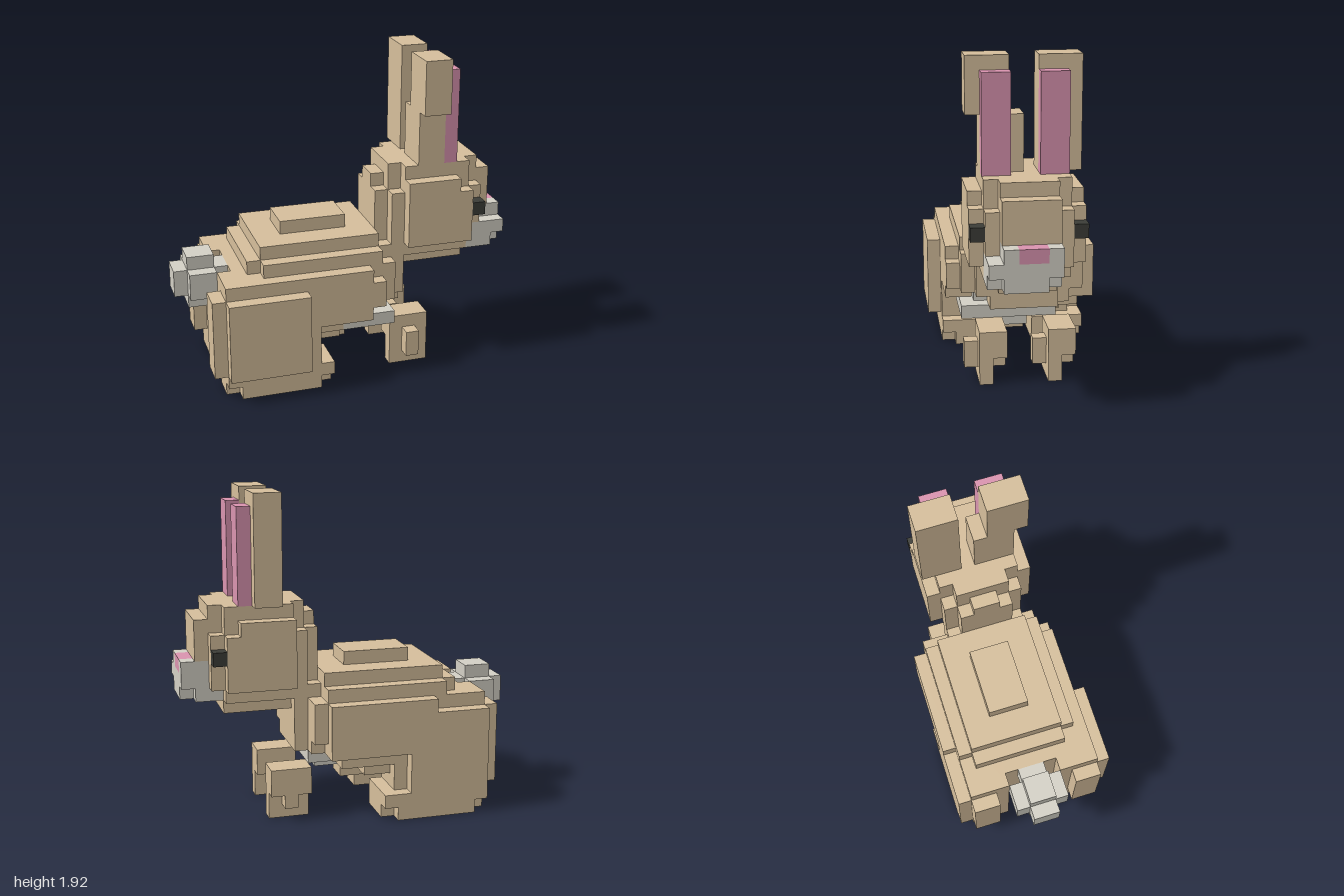
import * as THREE from 'three';
import { mergeGeometries } from 'three/addons/utils/BufferGeometryUtils.js';

const U = 0.08; // one block

// Box between two block-grid corners: x 0..25 (tail to nose), y 0..24, z -6..6
function block([x0, x1, y0, y1, z0, z1]) {
  const g = new THREE.BoxGeometry((x1 - x0) * U, (y1 - y0) * U, (z1 - z0) * U);
  g.translate(((x0 + x1) / 2) * U - 1, ((y0 + y1) / 2) * U, ((z0 + z1) / 2) * U);
  return g;
}

const flipZ = ([x0, x1, y0, y1, z0, z1]) => [x0, x1, y0, y1, -z1, -z0];
const shiftZ = ([x0, x1, y0, y1, z0, z1], d) => [x0, x1, y0, y1, z0 + d, z1 + d];

export function createModel() {
  const model = new THREE.Group();
  const paint = (name, color) => {
    const m = new THREE.MeshStandardMaterial({ color });
    m.name = name;
    return m;
  };
  const fur = paint('tan fur', 0xd6bf9c);
  const pale = paint('pale grey fur', 0xd4d1c6);
  const pink = paint('pink skin', 0xda94b0);
  const dark = paint('dark eye', 0x3c3d38);

  const part = (name, material, boxes) => {
    const mesh = new THREE.Mesh(mergeGeometries(boxes.map(block)), material);
    mesh.name = name;
    model.add(mesh);
  };

  // Body: stepped back, sides and underside
  part('body', fur, [
    [8, 13, 11, 12, -2, 1],
    [6, 15, 10, 11, -4, 3],
    [6, 15, 9, 10, -5, 4],
    [5, 15, 9, 10, -4, 3],
    [4, 14, 5, 9, -5, 5],
    [14, 15, 6, 8, -5, 5],
    [14, 15, 5, 9, -5, 2],
    [14, 15, 8, 9, -5, 4],
    [4, 12, 4, 5, -4, 4],
    [4, 14, 4, 5, -5, -3],
    [4, 12, 3, 4, -4, 3],
    [4, 13, 2, 3, -1, 1],
  ]);
  part('chest', fur, [
    [15, 16, 6, 9, -5, 4],
    [15, 16, 5, 6, -4, 2],
    [15, 17, 6, 10, -3, 3],
    [15, 17, 5, 6, -3, 2],
  ]);
  part('belly', pale, [
    [12, 16, 4, 5, -3, 4],
    [12, 15, 3, 4, -1, 1],
    [14, 15, 5, 6, 2, 3],
  ]);

  // Hind legs: the far one is a block wider and reaches forward along the flank
  part('leftHindLeg', fur, [
    [3, 10, 2, 9, 2, 5],
    [3, 9, 2, 8, 5, 6],
    [2, 3, 2, 8, 3, 5],
    [3, 11, 1, 2, 2, 5],
    [3, 11, 0, 1, 2, 4],
    [4, 10, 0, 1, 4, 5],
  ]);
  part('rightHindLeg', fur, [
    [3, 10, 2, 9, -5, -2],
    [3, 9, 2, 8, -6, -5],
    [7, 15, 5, 9, -6, -5],
    [2, 3, 2, 8, -5, -3],
    [3, 11, 1, 2, -6, -2],
    [3, 11, 0, 1, -5, -2],
    [4, 10, 0, 1, -6, -5],
  ]);

  // Front legs: the same shape on both sides, knob facing +z
  const frontLeg = [
    [16, 19, 0, 4, 2, 3],
    [16, 19, 2, 4, 1, 2],
    [17, 18, 1, 2, 1, 2],
    [17, 18, 1, 3, 3, 4],
  ];
  part('leftFrontLeg', fur, frontLeg);
  part('rightFrontLeg', fur, frontLeg.map((b) => shiftZ(b, -5)));

  // Tail: three crossed blocks
  part('tail', pale, [
    [0, 4, 7, 9, -1, 1],
    [1, 3, 6, 10, -1, 1],
    [1, 3, 7, 9, -2, 2],
  ]);

  // Head: rounded by overlapping steps
  part('head', fur, [
    [17, 22, 10, 14, -4, 4],
    [17, 21, 14, 15, -4, 4],
    [16, 22, 10, 14, -3, 3],
    [17, 22, 9, 10, -3, 3],
    [17, 22, 14, 16, -3, 3],
    [22, 23, 11, 14, -3, 3],
    [22, 23, 10, 11, -3, -2],
    [15, 22, 10, 14, -2, 2],
    [15, 16, 14, 15, -1, 1],
    [22, 24, 12, 15, -2, 2],
    [16, 23, 14, 16, -2, 2],
    [17, 22, 8, 9, -2, 2],
  ]);
  part('muzzle', pale, [
    [22, 24, 9, 12, -2, 2],
    [22, 24, 9, 11, 2, 3],
    [24, 25, 10, 11, -2, 3],
    [24, 25, 9, 10, -1, 2],
    [24, 25, 11, 12, 1, 2],
    [24, 25, 11, 12, -2, -1],
  ]);
  part('nose', pink, [[24, 25, 11, 12, -1, 1]]);

  // Eyes and inner ears mirror across the head
  const eye = [22, 23, 12, 13, 3, 4];
  const innerEar = [20, 21, 16, 23, 1, 3];
  part('leftEye', dark, [eye]);
  part('rightEye', dark, [flipZ(eye)]);
  part('leftInnerEar', pink, [innerEar]);
  part('rightInnerEar', pink, [flipZ(innerEar)]);

  // Ears: one kinked, one straight
  part('leftEar', fur, [
    [18, 20, 16, 20, 0, 3],
    [18, 20, 20, 24, 1, 4],
  ]);
  part('rightEar', fur, [[18, 20, 16, 24, -4, -1]]);

  return model;
}
